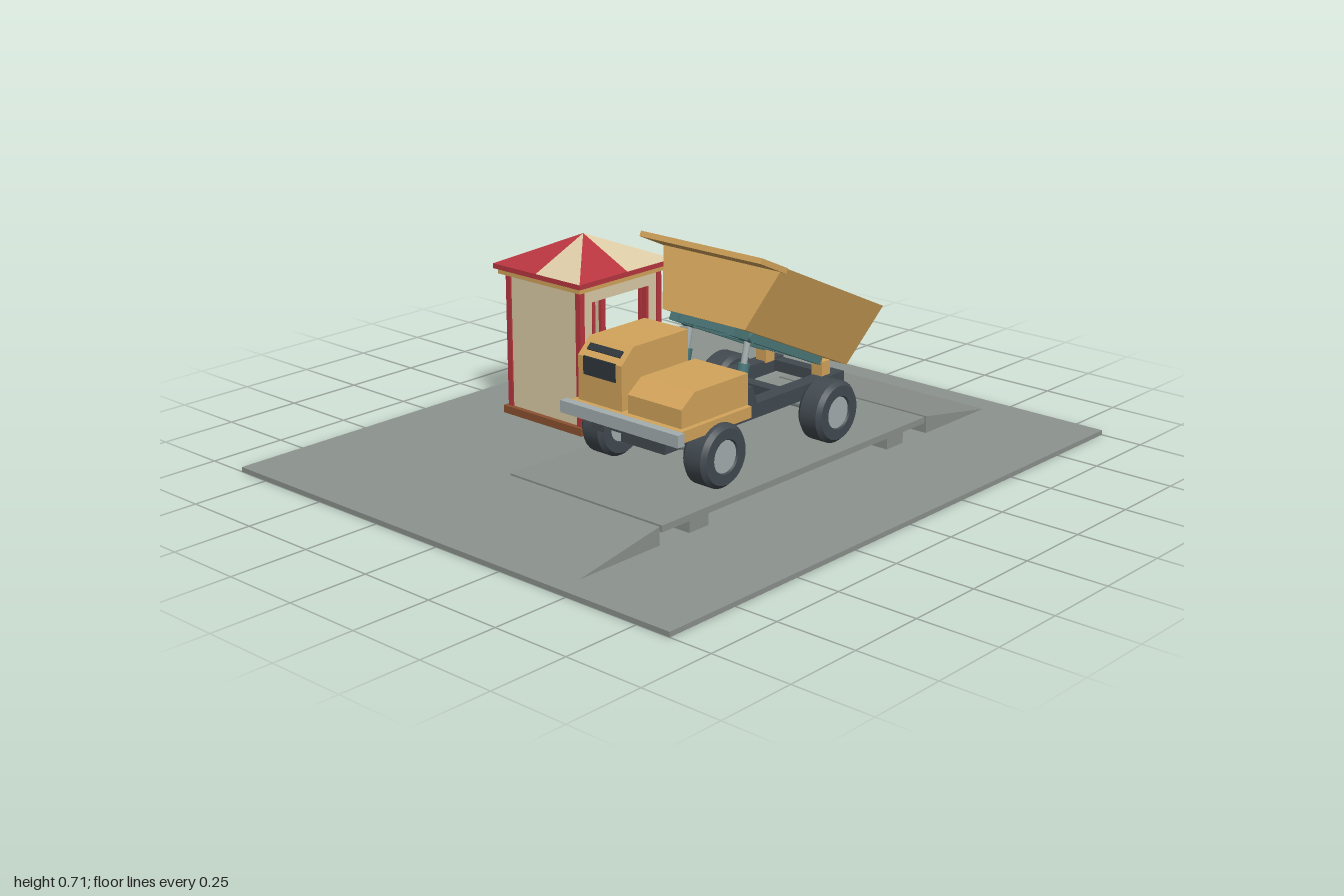
import * as THREE from 'three';
import { toCreasedNormals } from 'three/addons/utils/BufferGeometryUtils.js';

const mat = (color, extra = {}) => new THREE.MeshStandardMaterial({ color, ...extra });
const M = {
  ground: mat(0x8c928d), steel: mat(0x8a908c), yellow: mat(0xd2a35a), dark: mat(0x424a50),
  black: mat(0x2e363c), grey: mat(0xa3adae), teal: mat(0x4a7577), red: mat(0xb8363f),
  cream: mat(0xdccba6), brown: mat(0x8a5230),
};

function add(parent, name, geometry, material) {
  const mesh = new THREE.Mesh(geometry, material);
  mesh.name = name;
  parent.add(mesh);
  return mesh;
}

// Box given by its extents on each axis
function box(parent, name, material, [x0, x1], [y0, y1], [z0, z1]) {
  const g = new THREE.BoxGeometry(x1 - x0, y1 - y0, z1 - z0);
  g.translate((x0 + x1) / 2, (y0 + y1) / 2, (z0 + z1) / 2);
  return add(parent, name, g, material);
}

const shapeOf = pts => new THREE.Shape(pts.map(p => new THREE.Vector2(...p)));

// Side profile of [z, y] points, extruded from x0 to x1
function sideExtrude(parent, name, material, pts, x0, x1) {
  const g = new THREE.ExtrudeGeometry(shapeOf(pts), { depth: x1 - x0, bevelEnabled: false });
  g.rotateY(-Math.PI / 2).translate(x1, 0, 0);
  return add(parent, name, g, material);
}

// Cylinder between two points
function rod(parent, name, material, a, b, r) {
  const from = new THREE.Vector3(...a), to = new THREE.Vector3(...b);
  const dir = to.clone().sub(from);
  const m = add(parent, name, new THREE.CylinderGeometry(r, r, dir.length(), 16), material);
  m.position.copy(from).add(to).multiplyScalar(0.5);
  m.quaternion.setFromUnitVectors(new THREE.Vector3(0, 1, 0), dir.normalize());
  return m;
}

function makeWeighbridge() {
  const g = new THREE.Group();
  g.name = 'weighbridge';
  const w = 0.297;
  box(g, 'deck', M.steel, [-w, w], [0.05, 0.07], [-0.6, 0.6]);
  for (const s of [-1, 1]) {
    box(g, 'deckSupport', M.steel, [-w, w], [0.015, 0.05], [s * 0.45 - 0.04, s * 0.45 + 0.04]);
    sideExtrude(g, 'ramp', M.steel, [[s * 0.61, 0.015], [s * 0.92, 0.015], [s * 0.61, 0.07]], -w, w);
  }
  return g;
}

function makeWheel() {
  const g = new THREE.Group();
  g.name = 'wheel';
  const profile = [[0.048, -0.036], [0.052, -0.044], [0.084, -0.044], [0.096, -0.03],
    [0.096, 0.03], [0.084, 0.044], [0.052, 0.044], [0.048, 0.036]];
  const tyre = new THREE.LatheGeometry(profile.map(p => new THREE.Vector2(...p)), 32);
  add(g, 'tyre', toCreasedNormals(tyre, 0.5), M.dark);
  add(g, 'hub', new THREE.CylinderGeometry(0.049, 0.049, 0.076, 24), M.grey);
  g.rotation.z = Math.PI / 2;
  return g;
}

// Tipping body; its origin is the lower rear edge
function makeDumpBed() {
  const g = new THREE.Group();
  g.name = 'dumpBed';
  const L = 0.525, H = 0.2;
  const channel = shapeOf([[-0.23, H], [-0.16, 0], [0.16, 0], [0.23, H],
    [0.212, H], [0.147, 0.015], [-0.147, 0.015], [-0.212, H]]);
  add(g, 'bedFloorAndSides', new THREE.ExtrudeGeometry(channel, { depth: L, bevelEnabled: false }), M.yellow);
  const wall = new THREE.ExtrudeGeometry(
    shapeOf([[-0.22, H - 0.005], [-0.152, 0.008], [0.152, 0.008], [0.22, H - 0.005]]),
    { depth: 0.018, bevelEnabled: false });
  add(g, 'bedFrontWall', wall, M.yellow).position.z = L - 0.019;
  box(g, 'canopy', M.yellow, [-0.232, 0.232], [H - 0.015, H + 0.002], [L - 0.02, 0.632]);
  for (const s of [-1, 1]) {
    box(g, 'bedRail', M.teal, [s * 0.11 - 0.015, s * 0.11 + 0.015], [-0.025, 0], [0.08, L]);
  }
  for (const z of [0.1, 0.3, 0.5]) {
    box(g, 'bedCrossBeam', M.teal, [-0.11, 0.11], [-0.022, 0], [z - 0.012, z + 0.012]);
  }
  g.position.set(0, 0.265, -0.377);
  g.rotation.x = -0.428;
  return g;
}

function makeTruck() {
  const g = new THREE.Group();
  g.name = 'dumpTruck';

  // Chassis and running gear
  for (const s of [-1, 1]) {
    box(g, 'chassisRail', M.dark, [s * 0.12 - 0.025, s * 0.12 + 0.025], [0.195, 0.24], [-0.385, 0.42]);
    rod(g, 'ramSleeve', M.teal, [s * 0.112, 0.25, 0.075], [s * 0.112, 0.36, 0.047], 0.018);
    rod(g, 'ramPiston', M.grey, [s * 0.112, 0.35, 0.05], [s * 0.112, 0.45, 0.026], 0.01);
    rod(g, 'ramPin', M.teal, [s * 0.09, 0.437, 0.03], [s * 0.135, 0.437, 0.03], 0.016);
    sideExtrude(g, 'ramBracket', M.dark, [[0.1, 0.235], [0.03, 0.235], [0.055, 0.3], [0.075, 0.3]],
      s * 0.145 - 0.008, s * 0.145 + 0.008);
    box(g, 'hinge', M.yellow, [s * 0.11 - 0.02, s * 0.11 + 0.02], [0.235, 0.285], [-0.335, -0.295]);
  }
  for (const z of [-0.36, -0.13, 0.06, 0.38]) {
    box(g, 'chassisCrossMember', M.dark, [-0.12, 0.12], [0.2, 0.235], [z - 0.02, z + 0.02]);
  }
  box(g, 'engineSump', M.dark, [-0.085, 0.085], [0.155, 0.24], [0.13, 0.36]);
  for (const z of [0.275, -0.238]) {
    rod(g, 'axle', M.grey, [-0.19, 0.168, z], [0.19, 0.168, z], 0.02);
    for (const s of [-1, 1]) {
      const wheel = makeWheel();
      wheel.position.set(s * 0.2, 0.165, z);
      g.add(wheel);
    }
  }

  // Front body
  box(g, 'bodyDeck', M.yellow, [-0.21, 0.217], [0.24, 0.275], [0.135, 0.435]);
  box(g, 'bumper', M.grey, [-0.228, 0.23], [0.238, 0.275], [0.435, 0.463]);
  sideExtrude(g, 'cab', M.yellow,
    [[0.14, 0.27], [0.42, 0.27], [0.42, 0.41], [0.37, 0.457], [0.14, 0.457]], -0.195, -0.023);
  sideExtrude(g, 'hood', M.yellow,
    [[0.132, 0.27], [0.415, 0.27], [0.415, 0.33], [0.36, 0.37], [0.132, 0.37]], -0.004, 0.2);
  box(g, 'windscreen', M.black, [-0.172, -0.046], [0.357, 0.412], [0.41, 0.423]);
  const slit = add(g, 'upperWindow', new THREE.BoxGeometry(0.13, 0.022, 0.006), M.black);
  slit.position.set(-0.109, 0.434, 0.396);
  slit.rotation.x = -0.816;
  sideExtrude(g, 'sideWindow', M.black,
    [[0.19, 0.33], [0.39, 0.33], [0.39, 0.4], [0.36, 0.43], [0.19, 0.43]], -0.198, -0.19);
  rod(g, 'exhaust', M.grey, [-0.013, 0.26, 0.2], [-0.013, 0.3, 0.2], 0.008);

  g.add(makeDumpBed());
  return g;
}

function makeBooth() {
  const g = new THREE.Group();
  g.name = 'booth';
  const X = 0.163, Z = 0.183, y0 = 0.04, y1 = 0.475, t = 0.008;
  box(g, 'boothBase', M.brown, [-0.173, 0.173], [0.015, y0], [-0.195, 0.195]);
  for (const sx of [-1, 1]) for (const sz of [-1, 1]) {
    const cx = sx * (X - 0.01), cz = sz * (Z - 0.01);
    box(g, 'cornerPost', M.red, [cx - 0.01, cx + 0.01], [y0, y1], [cz - 0.01, cz + 0.01]);
  }

  // Closed front and outer walls
  box(g, 'frontWall', M.cream, [-X + 0.01, X - 0.01], [y0, y1], [Z - 0.01 - t, Z - 0.005]);
  box(g, 'outerWall', M.cream, [-X + 0.005, -X + 0.01 + t], [y0, y1], [-Z + 0.01, Z - 0.01]);

  // Serving window towards the weighbridge
  const wx = [X - 0.01 - t, X - 0.005];
  box(g, 'windowLowerWall', M.cream, wx, [y0, 0.21], [-Z + 0.01, Z - 0.01]);
  box(g, 'windowHeader', M.cream, wx, [0.43, y1], [-Z + 0.01, Z - 0.01]);
  for (const s of [-1, 1]) {
    box(g, 'windowSidePanel', M.cream, wx, [0.21, 0.43], [s * 0.15 - 0.025, s * 0.15 + 0.025]);
    box(g, 'windowJamb', M.red, [X - 0.022, X - 0.002], [0.21, 0.43], [s * 0.12 - 0.006, s * 0.12 + 0.006]);
  }
  box(g, 'counter', M.brown, [X - 0.07, X + 0.025], [0.213, 0.23], [-0.12, 0.12]);

  // Rear doorway
  const dz = [-Z + 0.005, -Z + 0.01 + t];
  for (const s of [-1, 1]) {
    box(g, 'doorSidePanel', M.cream, [s * 0.122 - 0.033, s * 0.122 + 0.033], [y0, y1], dz);
    box(g, 'doorJamb', M.red, [s * 0.088 - 0.006, s * 0.088 + 0.006], [y0, 0.43], [-Z + 0.002, -Z + 0.022]);
  }
  box(g, 'doorHeader', M.cream, [-0.09, 0.09], [0.43, y1], dz);

  // Roof: trim, eaves and eight alternating segments
  box(g, 'roofTrim', M.yellow, [-0.18, 0.18], [y1, 0.492], [-0.2, 0.2]);
  box(g, 'eaves', M.red, [-0.19, 0.19], [0.492, 0.508], [-0.21, 0.21]);
  const rim = [[0, -1], [1, -1], [1, 0], [1, 1], [0, 1], [-1, 1], [-1, 0], [-1, -1]]
    .map(([x, z]) => [x * 0.19, 0.508, z * 0.21]);
  rim.forEach((p, i) => {
    const geo = new THREE.BufferGeometry();
    geo.setAttribute('position', new THREE.Float32BufferAttribute([...rim[(i + 1) % 8], ...p, 0, 0.598, 0], 3));
    geo.computeVertexNormals();
    add(g, 'roofSegment', geo, mat(i % 2 ? M.cream.color : M.red.color, { side: THREE.DoubleSide }));
  });
  return g;
}

export function createModel() {
  const model = new THREE.Group();
  model.name = 'weighStation';
  box(model, 'ground', M.ground, [-0.863, 0.863], [0, 0.015], [-1, 1]);
  const bridge = makeWeighbridge(), truck = makeTruck(), booth = makeBooth();
  bridge.position.x = truck.position.x = 0.173;
  booth.position.set(-0.473, 0, -0.062);
  model.add(bridge, truck, booth);
  return model;
}
